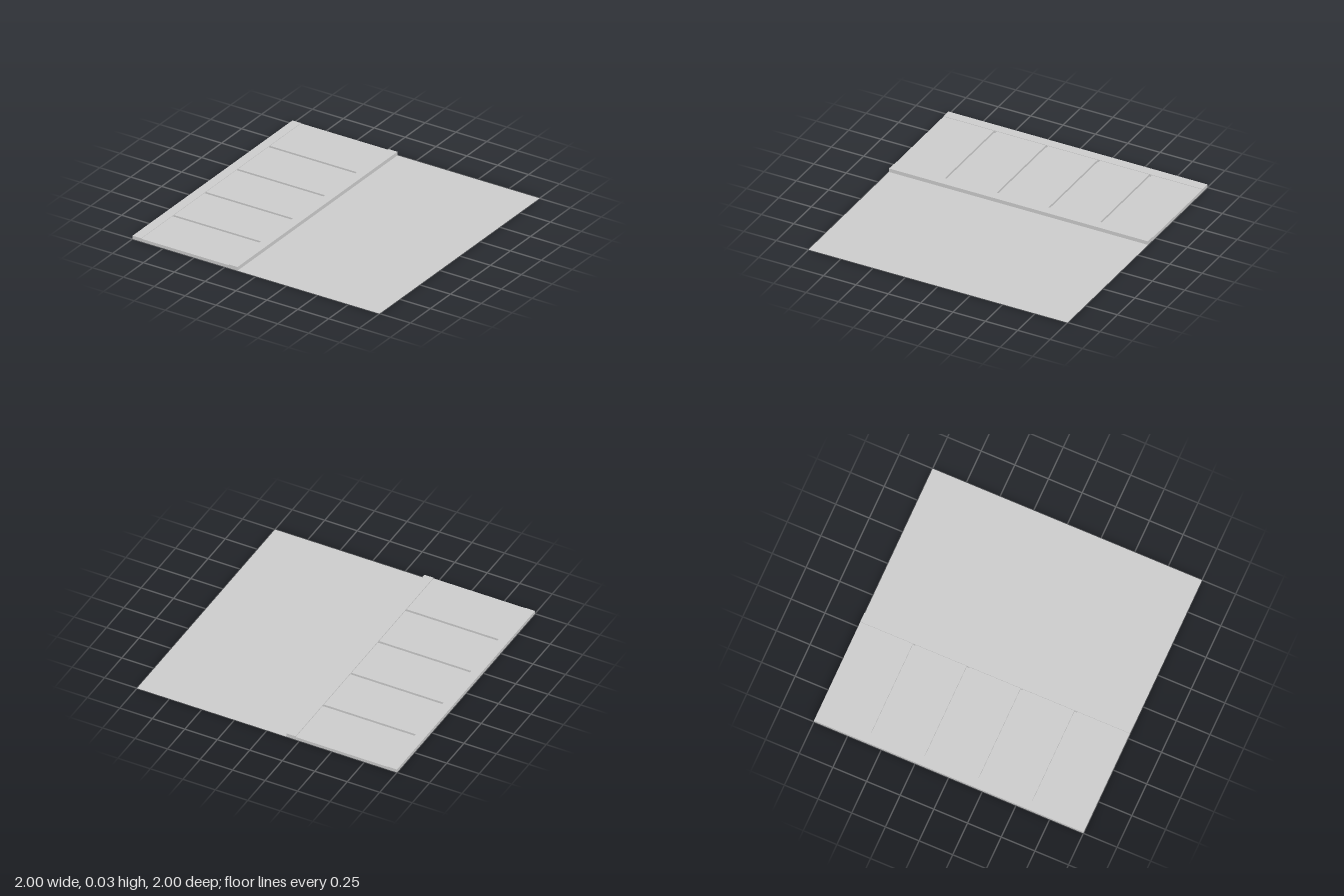
import * as THREE from 'three';

const material = new THREE.MeshStandardMaterial({ color: 0xcccccc, side: THREE.DoubleSide });

// Heights of the raised parts and the x positions where they change
const BORDER_Y = 0.025, PAVING_Y = 0.022, CURB_Y = 0.028;
const OUTER_X = -1, PAVING_X0 = -0.93, PAVING_X1 = -0.22, CURB_X = -0.15;
const JOINT_WIDTH = 0.02, JOINT_FLOOR = 0.006;

function addMesh(group, name, geometry) {
  const mesh = new THREE.Mesh(geometry, material);
  mesh.name = name;
  group.add(mesh);
  return mesh;
}

// Sweeps an open [x, y] profile along the whole depth, one flat strip per segment
function sweep(profile) {
  const positions = [];
  for (let i = 0; i < profile.length - 1; i++) {
    const [ax, ay] = profile[i], [bx, by] = profile[i + 1];
    positions.push(ax, ay, 1, bx, by, 1, bx, by, -1);
    positions.push(ax, ay, 1, bx, by, -1, ax, ay, -1);
  }
  const geometry = new THREE.BufferGeometry();
  geometry.setAttribute('position', new THREE.Float32BufferAttribute(positions, 3));
  geometry.computeVertexNormals();
  return geometry;
}

function rectangle(x0, y0, x1, y1) {
  return [[x0, y0], [x1, y0], [x1, y1], [x0, y1]].map(([x, y]) => new THREE.Vector2(x, y));
}

export function createModel() {
  const model = new THREE.Group();
  model.name = 'streetSection';

  // Flat road beside the curb
  const road = addMesh(model, 'road', new THREE.PlaneGeometry(1 - CURB_X, 2).rotateX(-Math.PI / 2));
  road.position.x = (1 + CURB_X) / 2;

  // Raised border and curb, open underneath
  const border = [[OUTER_X, 0], [OUTER_X, BORDER_Y], [PAVING_X0, BORDER_Y], [PAVING_X0, PAVING_Y]];
  const curb = [[PAVING_X1, PAVING_Y], [PAVING_X1, CURB_Y], [CURB_X, CURB_Y], [CURB_X, 0]];
  addMesh(model, 'outerBorder', sweep(border));
  addMesh(model, 'curb', sweep(curb));

  // Paving surface with slots for the joints
  const paving = new THREE.Shape(rectangle(PAVING_X0, -1, PAVING_X1, 1));
  const jointLength = PAVING_X1 - PAVING_X0;
  const inset = 0.001;
  for (const z of [-0.6, -0.2, 0.2, 0.6]) {
    const h = JOINT_WIDTH / 2;
    paving.holes.push(new THREE.Path(rectangle(PAVING_X0 + inset, -z - h, PAVING_X1 - inset, -z + h)));

    // Sunken joint: a box without its top
    const depth = PAVING_Y - JOINT_FLOOR;
    const box = new THREE.BoxGeometry(jointLength - 2 * inset, depth, JOINT_WIDTH);
    const index = Array.from(box.index.array);
    index.splice(12, 6);
    box.setIndex(index);
    box.clearGroups();
    const joint = addMesh(model, 'pavingJoint', box);
    joint.position.set((PAVING_X0 + PAVING_X1) / 2, JOINT_FLOOR + depth / 2, z);
  }
  const surface = addMesh(model, 'pavingSurface', new THREE.ShapeGeometry(paving).rotateX(-Math.PI / 2));
  surface.position.y = PAVING_Y;

  // End faces of the sidewalk, front and back
  const section = new THREE.Shape([...border, ...curb].map(([x, y]) => new THREE.Vector2(x, y)));
  for (const z of [1, -1]) {
    const end = addMesh(model, z > 0 ? 'frontEnd' : 'backEnd', new THREE.ShapeGeometry(section));
    end.position.z = z;
  }

  return model;
}
